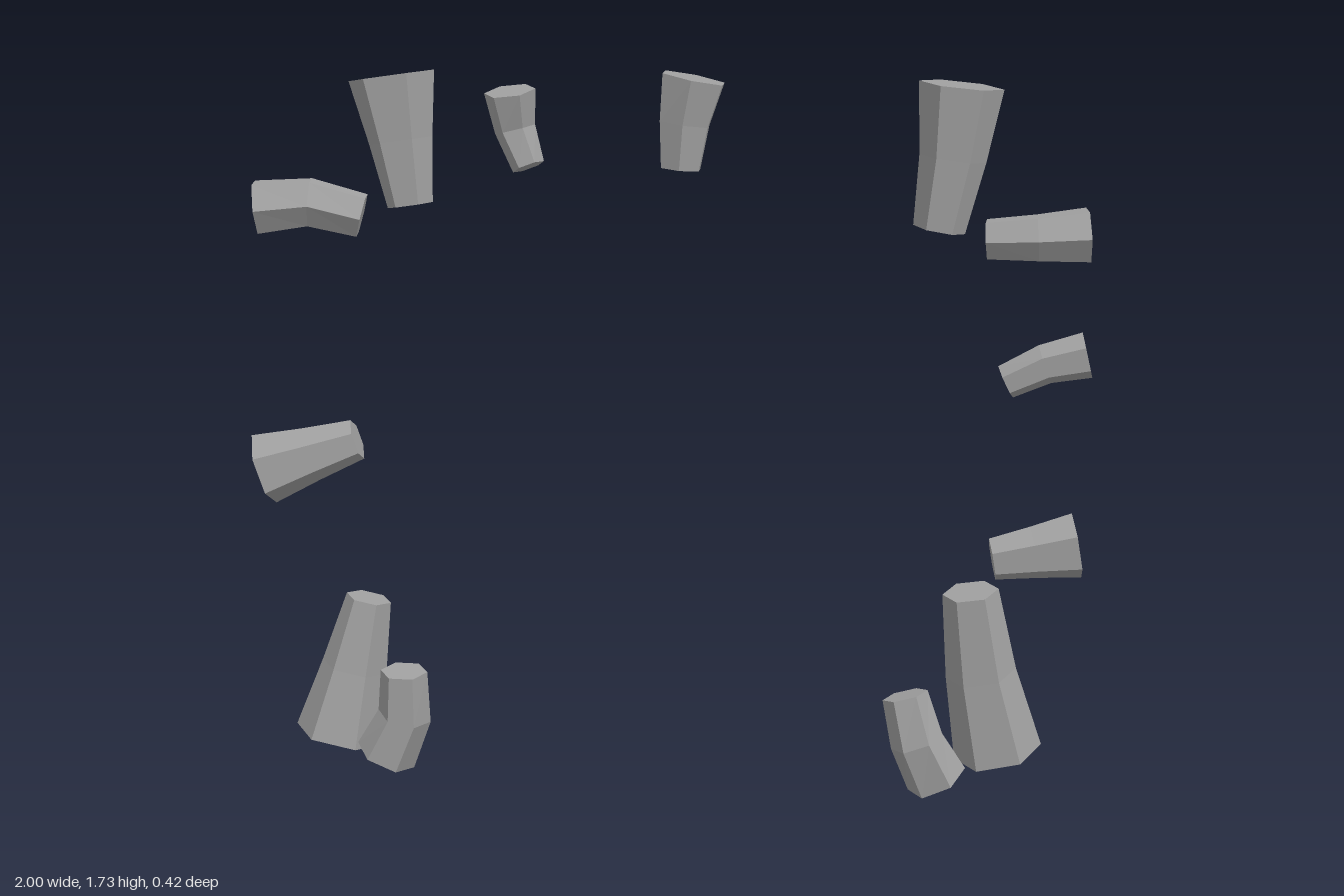
import * as THREE from 'three';

const SIDES = 6;
const POINTED = 0;
const FLAT = Math.PI / 6;

// Tapering six-sided peg between two capped ends, its middle ring pushed aside by a bend
function pegGeometry(start, end, r0, r1, turn, bend, bendZ) {
  const run = end.clone().sub(start);
  const side = new THREE.Vector3(-run.y, run.x, 0).setLength(bend);
  const middle = start.clone().lerp(end, 0.5).add(side);
  middle.z += bendZ;
  const centres = [start, middle, end];
  const radii = [r0, THREE.MathUtils.lerp(r0, r1, 0.55), r1];

  const rings = centres.map((centre, i) => {
    const axis = centres[Math.min(i + 1, 2)].clone().sub(centres[Math.max(i - 1, 0)]).normalize();
    const u = Math.abs(axis.y) > 0.6 ? new THREE.Vector3(1, 0, 0) : new THREE.Vector3(0, 0, 1);
    u.addScaledVector(axis, -u.dot(axis)).normalize();
    const v = axis.clone().cross(u);
    return Array.from({ length: SIDES }, (_, j) => {
      const a = turn + (j / SIDES) * Math.PI * 2;
      return centre.clone()
        .addScaledVector(u, Math.cos(a) * radii[i])
        .addScaledVector(v, Math.sin(a) * radii[i]);
    });
  });

  const corners = [];
  for (let j = 0; j < SIDES; j++) {
    const k = (j + 1) % SIDES;
    for (let i = 0; i < 2; i++) {
      corners.push(rings[i][j], rings[i][k], rings[i + 1][k]);
      corners.push(rings[i][j], rings[i + 1][k], rings[i + 1][j]);
    }
    corners.push(start, rings[0][k], rings[0][j]);
    corners.push(end, rings[2][j], rings[2][k]);
  }
  const geometry = new THREE.BufferGeometry().setFromPoints(corners);
  geometry.computeVertexNormals();
  return geometry;
}

export function createModel() {
  const model = new THREE.Group();
  model.name = 'pegFrame';
  const stone = new THREE.MeshStandardMaterial({ color: 0xa0a0a0 });
  stone.name = 'greyStone';

  // Each peg runs from its wide outer end to its narrow inner end
  const peg = (name, turn, start, end, r0, r1, bend = 0, bendZ = 0) => {
    const geometry = pegGeometry(
      new THREE.Vector3(...start), new THREE.Vector3(...end), r0, r1, turn, bend, bendZ);
    const mesh = new THREE.Mesh(geometry, stone);
    mesh.name = name;
    model.add(mesh);
  };

  // Hanging from the top
  peg('topRightLargePeg', POINTED, [-0.665, 1.715, -0.12], [-0.62, 1.41, -0.085], 0.104, 0.055);
  peg('topRightSmallPeg', POINTED, [-0.35, 1.713, 0.11], [-0.307, 1.54, 0.122], 0.06, 0.038, -0.012, -0.017);
  peg('topMiddlePeg', FLAT, [0.055, 1.715, -0.135], [0.025, 1.5, -0.125], 0.083, 0.052, -0.006);
  peg('topLeftLargePeg', POINTED, [0.685, 1.71, -0.1], [0.64, 1.37, -0.085], 0.1, 0.062, 0.006);

  // Pointing inward from the sides
  peg('rightUpperPeg', POINTED, [-0.98, 1.41, -0.025], [-0.73, 1.39, -0.045], 0.068, 0.055, 0.022);
  peg('rightLowerPeg', FLAT, [-0.973, 0.777, 0.02], [-0.745, 0.853, 0.01], 0.088, 0.05);
  peg('leftUpperPeg', POINTED, [0.988, 1.37, -0.045], [0.752, 1.356, -0.045], 0.068, 0.05, 0, 0.01);
  peg('leftMiddlePeg', FLAT, [0.986, 1.117, 0.11], [0.8, 1.05, 0.11], 0.055, 0.041, -0.011);
  peg('leftLowerPeg', FLAT, [0.986, 0.612, -0.05], [0.785, 0.577, -0.035], 0.081, 0.052);

  // Rising from the ground
  peg('bottomRightLargePeg', POINTED, [-0.82, 0.075, -0.06], [-0.743, 0.427, -0.075], 0.112, 0.056);
  peg('bottomRightFrontPeg', POINTED, [-0.677, 0.082, 0.1], [-0.625, 0.305, 0.118], 0.075, 0.057, -0.024);
  peg('bottomRightBackPeg', POINTED, [-0.79, 0.055, -0.12], [-0.655, 0.196, -0.125], 0.075, 0.042);
  peg('bottomLeftLargePeg', POINTED, [0.812, 0.076, -0.065], [0.735, 0.497, -0.025], 0.108, 0.068, 0.008);
  peg('bottomLeftFrontPeg', POINTED, [0.662, 0.072, 0.125], [0.583, 0.284, 0.132], 0.075, 0.055, 0.011, 0.016);

  return model;
}
